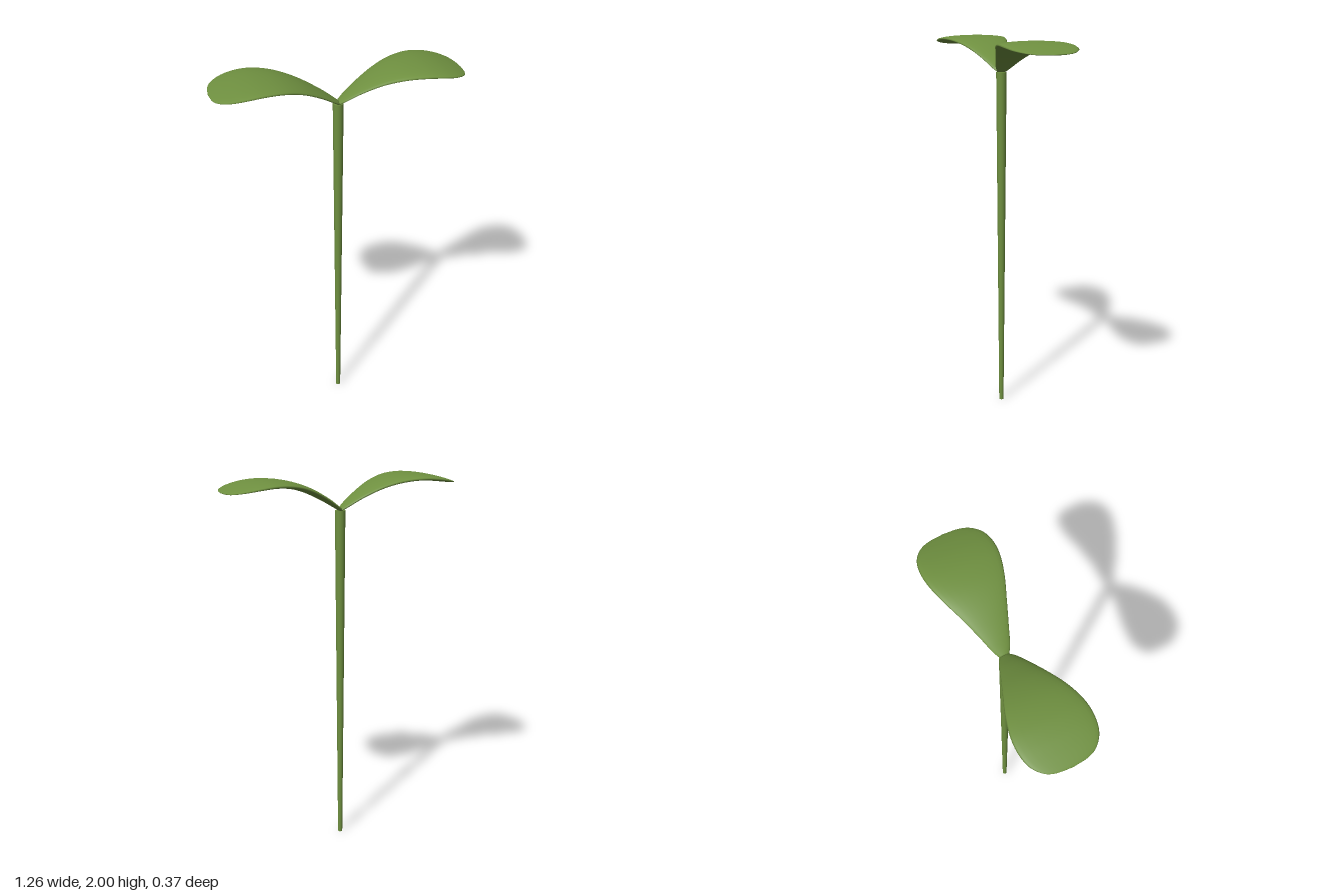
import * as THREE from 'three';

const green = new THREE.MeshStandardMaterial({ color: 0x6f9040 });

// Leaf stations along its length: [x, centre height, half width, half thickness]
const STATIONS = [
  [0, 1.829, 0.024, 0.011], [0.03, 1.850, 0.043, 0.011], [0.1, 1.894, 0.072, 0.013],
  [0.2, 1.943, 0.113, 0.016], [0.3, 1.972, 0.153, 0.018], [0.4, 1.981, 0.180, 0.018],
  [0.48, 1.975, 0.184, 0.017], [0.55, 1.963, 0.167, 0.013], [0.6, 1.952, 0.125, 0.008],
  [0.62, 1.947, 0.080, 0.005], [0.629, 1.945, 0.001, 0.001],
];

// Closed leaf blade: lens-shaped sections swept along the stations
function leafGeometry(steps = 60, sides = 24) {
  const spine = new THREE.CatmullRomCurve3(STATIONS.map(([x, y, w]) => new THREE.Vector3(x, y, w)));
  const thick = new THREE.SplineCurve(STATIONS.map(([x, , , h]) => new THREE.Vector2(x, h)));
  const positions = [], index = [];
  for (let i = 0; i <= steps; i++) {
    const t = i / steps;
    const p = spine.getPoint(t), d = spine.getTangent(t), h = thick.getPoint(t).y;
    const len = Math.hypot(d.x, d.y) || 1;
    const base = Math.min(1, p.x / 0.06); // keeps the root section upright
    const nx = -d.y / len * base, ny = d.x / len * base + (1 - base);
    for (let j = 0; j < sides; j++) {
      const a = j / sides * Math.PI * 2;
      const lift = Math.sin(a) * h;
      positions.push(p.x + nx * lift, p.y + ny * lift, Math.cos(a) * Math.max(p.z, 0.001));
    }
  }
  for (let i = 0; i < steps; i++) {
    for (let j = 0; j < sides; j++) {
      const a = i * sides + j, b = i * sides + (j + 1) % sides;
      index.push(a, a + sides, b, b, a + sides, b + sides);
    }
  }
  // Close the root and the tip
  const last = steps * sides;
  for (let j = 1; j < sides - 1; j++) {
    index.push(0, j, j + 1, last, last + j + 1, last + j);
  }
  const geometry = new THREE.BufferGeometry();
  geometry.setAttribute('position', new THREE.Float32BufferAttribute(positions, 3));
  geometry.setIndex(index);
  geometry.computeVertexNormals();
  return geometry;
}

export function createModel() {
  const sprout = new THREE.Group();
  sprout.name = 'sprout';

  // Slender stem, widening towards the top
  const stem = new THREE.Mesh(new THREE.CylinderGeometry(0.027, 0.012, 1.825, 16), green);
  stem.name = 'stem';
  stem.position.y = 0.9125;
  sprout.add(stem);

  // Pair of opposite leaves
  const blade = leafGeometry();
  ['leftLeaf', 'rightLeaf'].forEach((name, i) => {
    const leaf = new THREE.Mesh(blade, green);
    leaf.name = name;
    leaf.rotation.y = i * Math.PI;
    sprout.add(leaf);
  });

  return sprout;
}
